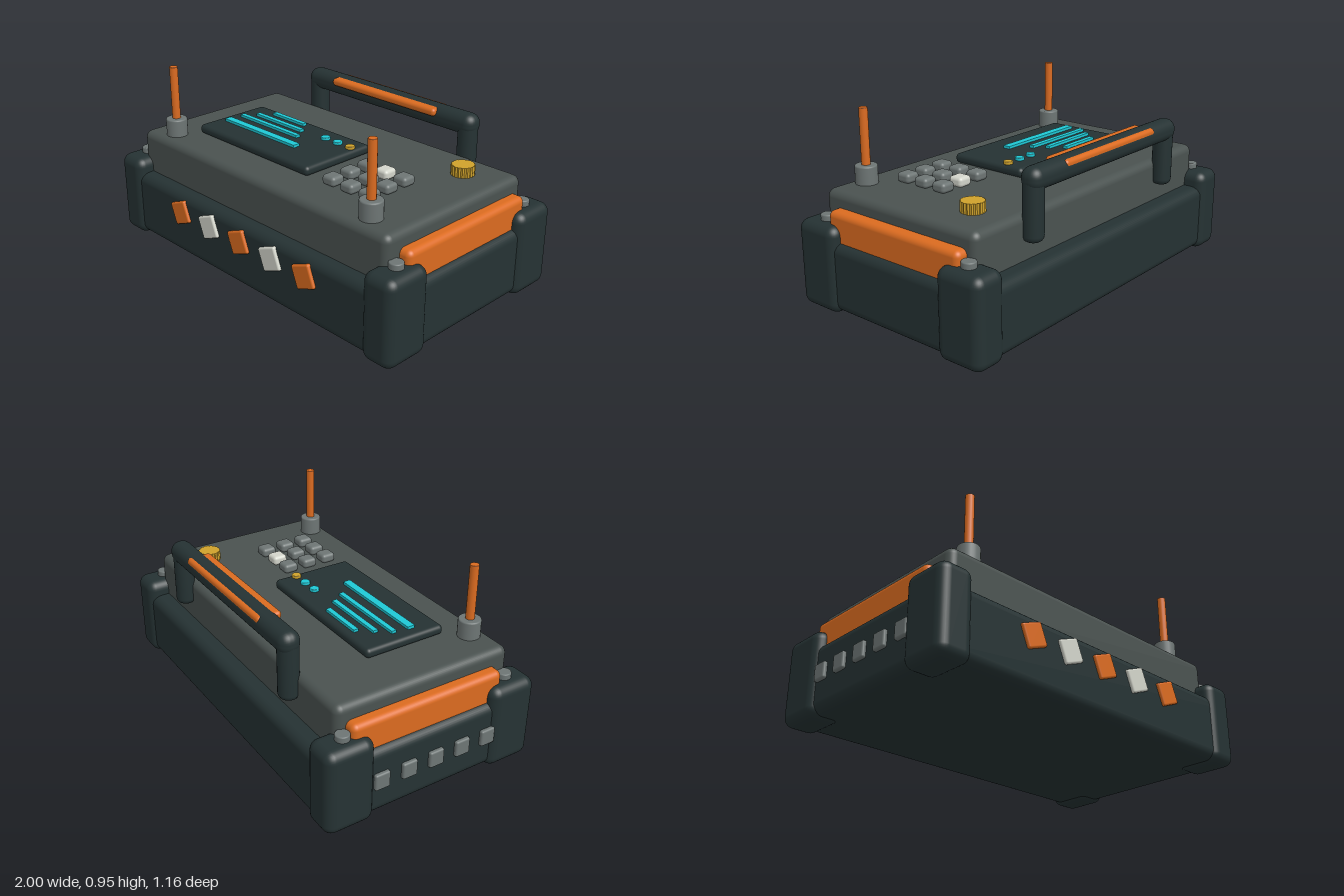
import * as THREE from 'three';
import { RoundedBoxGeometry } from 'three/addons/geometries/RoundedBoxGeometry.js';

const material = (name, color) => {
  const m = new THREE.MeshStandardMaterial({ color });
  m.name = name;
  return m;
};

export function createModel() {
  const root = new THREE.Group();
  root.name = 'portableConsole';

  const dark = material('dark casing', 0x253233);
  const lidGrey = material('lid grey', 0x4a5250);
  const grey = material('mid grey', 0x6d7574);
  const orange = material('orange', 0xdb6b20);
  const white = material('off white', 0xd3d5cb);
  const cyan = material('cyan', 0x1fc9d6);
  const gold = material('gold', 0xcfa22b);

  const add = (name, geometry, mat, x, y, z, parent = root) => {
    const mesh = new THREE.Mesh(geometry, mat);
    mesh.name = name;
    mesh.position.set(x, y, z);
    parent.add(mesh);
    return mesh;
  };
  const group = (name) => {
    const g = new THREE.Group();
    g.name = name;
    root.add(g);
    return g;
  };
  const box = (w, h, d, r) => new RoundedBoxGeometry(w, h, d, 4, r);

  // Upright cylinder standing on y = 0 with rounded rims
  const roundCylinder = (r, h, bevel, sides = 24) => {
    const points = [new THREE.Vector2(0, 0)];
    for (let i = 0; i <= 4; i++) {
      const a = -Math.PI / 2 + (i / 4) * (Math.PI / 2);
      points.push(new THREE.Vector2(r - bevel + bevel * Math.cos(a), bevel + bevel * Math.sin(a)));
    }
    for (let i = 0; i <= 4; i++) {
      const a = (i / 4) * (Math.PI / 2);
      points.push(new THREE.Vector2(r - bevel + bevel * Math.cos(a), h - bevel + bevel * Math.sin(a)));
    }
    points.push(new THREE.Vector2(0, h));
    return new THREE.LatheGeometry(points, sides);
  };

  // Casing and lid
  add('body', box(1.96, 0.35, 1.13, 0.05), dark, 0, 0.187, 0);
  add('lid', box(1.776, 0.3, 0.96, 0.04), lidGrey, 0, 0.432, 0.01);

  // Corner bumpers with bolts
  const corners = group('cornerBumpers');
  for (const sx of [-1, 1]) {
    for (const sz of [-1, 1]) {
      add('bumper', box(0.18, 0.44, 0.255, 0.05), dark, sx * 0.91, 0.22, sz * 0.4535, corners);
      add('bolt', roundCylinder(0.035, 0.05, 0.006), grey, sx * 0.91, 0.42, sz * 0.452, corners);
    }
    add('sidePanel', box(0.12, 0.2, 0.83, 0.03), orange, sx * 0.888, 0.405, -0.006);
  }

  // Slanted squares along the front
  const badges = group('frontSquares');
  for (let i = 0; i < 5; i++) {
    const square = add('square', box(0.122, 0.118, 0.03, 0.01), i % 2 ? white : orange,
      -0.47 + i * 0.2325, 0.258, 0.566, badges);
    square.rotation.z = 0.38;
  }

  // Vent blocks on the right side
  const vents = group('sideVents');
  for (let i = 0; i < 5; i++) {
    add('vent', box(0.04, 0.085, 0.08, 0.01), grey, -0.979, 0.2, -0.29 + i * 0.15, vents);
  }

  // Screen with bars and status dots
  const screen = group('screen');
  add('screenPanel', box(0.834, 0.05, 0.44, 0.022), dark, -0.222, 0.606, 0.08, screen);
  const bars = [[-0.35, -0.086, 0.24, 0.026], [-0.35, -0.014, 0.35, 0.026],
    [-0.352, 0.056, 0.445, 0.026], [-0.31, 0.15, 0.545, 0.04]];
  for (const [x, z, w, d] of bars) {
    add('screenBar', new THREE.BoxGeometry(w, 0.016, d), cyan, x, 0.637, z, screen);
  }
  [[-0.015, cyan], [0.072, cyan], [0.16, gold]].forEach(([x, mat]) => {
    add('statusDot', roundCylinder(0.024, 0.017, 0.004), mat, x, 0.629, -0.03, screen);
  });

  // Keypad with one pale key
  const keypad = group('keypad');
  for (let row = 0; row < 3; row++) {
    for (let col = 0; col < 3; col++) {
      add('key', box(0.08, 0.05, 0.08, 0.018), row === 0 && col === 1 ? white : grey,
        0.333 + col * 0.117, 0.606, 0.024 + row * 0.117, keypad);
    }
  }

  // Knurled knob
  const teeth = 20;
  const outline = new THREE.Shape();
  for (let i = 0; i < teeth * 2; i++) {
    const r = i % 2 ? 0.054 : 0.059;
    const a = (i / (teeth * 2)) * Math.PI * 2;
    outline[i ? 'lineTo' : 'moveTo'](r * Math.cos(a), r * Math.sin(a));
  }
  outline.closePath();
  const knob = new THREE.ExtrudeGeometry(outline, { depth: 0.058, bevelEnabled: false });
  knob.rotateX(-Math.PI / 2);
  add('knob', knob, gold, 0.683, 0.576, -0.27);

  // Antennas
  for (const sx of [-1, 1]) {
    const antenna = group('antenna');
    antenna.position.set(sx * 0.708, 0.575, 0.396);
    add('antennaBase', roundCylinder(0.056, 0.1, 0.008), grey, 0, 0, 0, antenna);
    add('antennaRod', roundCylinder(0.022, 0.3, 0.003, 16), orange, 0, 0.08, 0, antenna);
  }

  // Carrying handle with a grip through its bar
  const handle = group('handle');
  add('handleBar', box(1.17, 0.112, 0.11, 0.05), dark, 0, 0.743, -0.493, handle);
  for (const sx of [-1, 1]) {
    add('handlePost', roundCylinder(0.051, 0.33, 0.03), dark, sx * 0.533, 0.45, -0.491, handle);
  }
  add('grip', box(0.73, 0.042, 0.128, 0.018), orange, 0, 0.77, -0.482, handle);

  return root;
}
